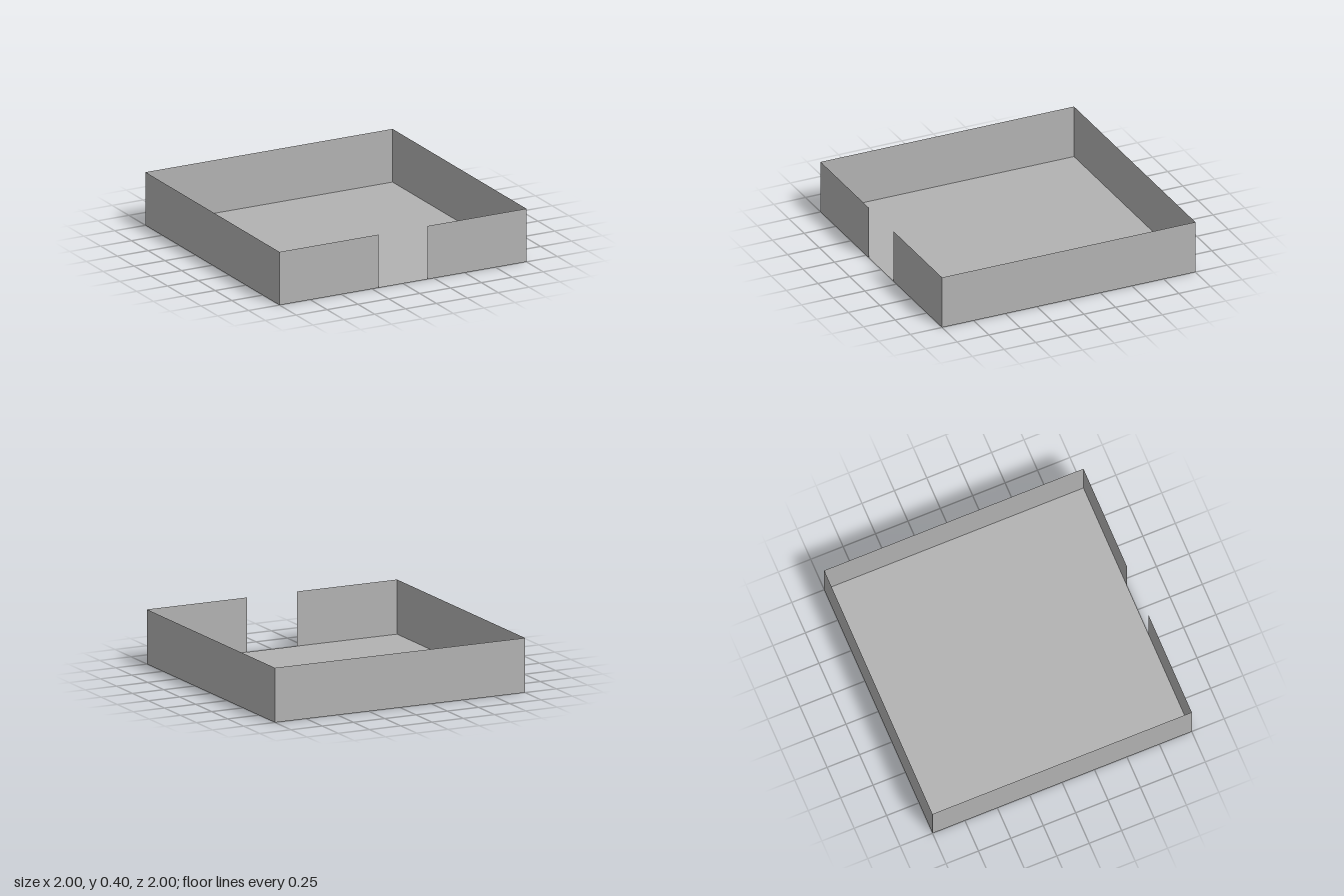
import * as THREE from 'three';

export function createModel() {
  const model = new THREE.Group();
  model.name = 'walledRoom';

  const grey = new THREE.MeshStandardMaterial({ color: 0xb2b2b2, side: THREE.DoubleSide });
  grey.name = 'plain grey';

  const size = 2, half = size / 2, height = 0.4, doorway = 0.4;

  // Single-sheet panel, turned to face outward
  function panel(name, width, depth, position, rotation) {
    const mesh = new THREE.Mesh(new THREE.PlaneGeometry(width, depth), grey);
    mesh.name = name;
    mesh.position.set(...position);
    mesh.rotation.set(...rotation);
    model.add(mesh);
  }

  // Floor and back wall
  panel('floor', size, size, [0, 0, 0], [-Math.PI / 2, 0, 0]);
  panel('backWall', size, height, [0, height / 2, -half], [0, Math.PI, 0]);

  // Side walls, and front walls either side of the open doorway
  const frontWidth = (size - doorway) / 2;
  for (const [side, s] of [['left', 1], ['right', -1]]) {
    panel(side + 'Wall', size, height, [s * half, height / 2, 0], [0, s * Math.PI / 2, 0]);
    panel(side + 'FrontWall', frontWidth, height,
      [s * (doorway + frontWidth) / 2, height / 2, half], [0, 0, 0]);
  }

  return model;
}
